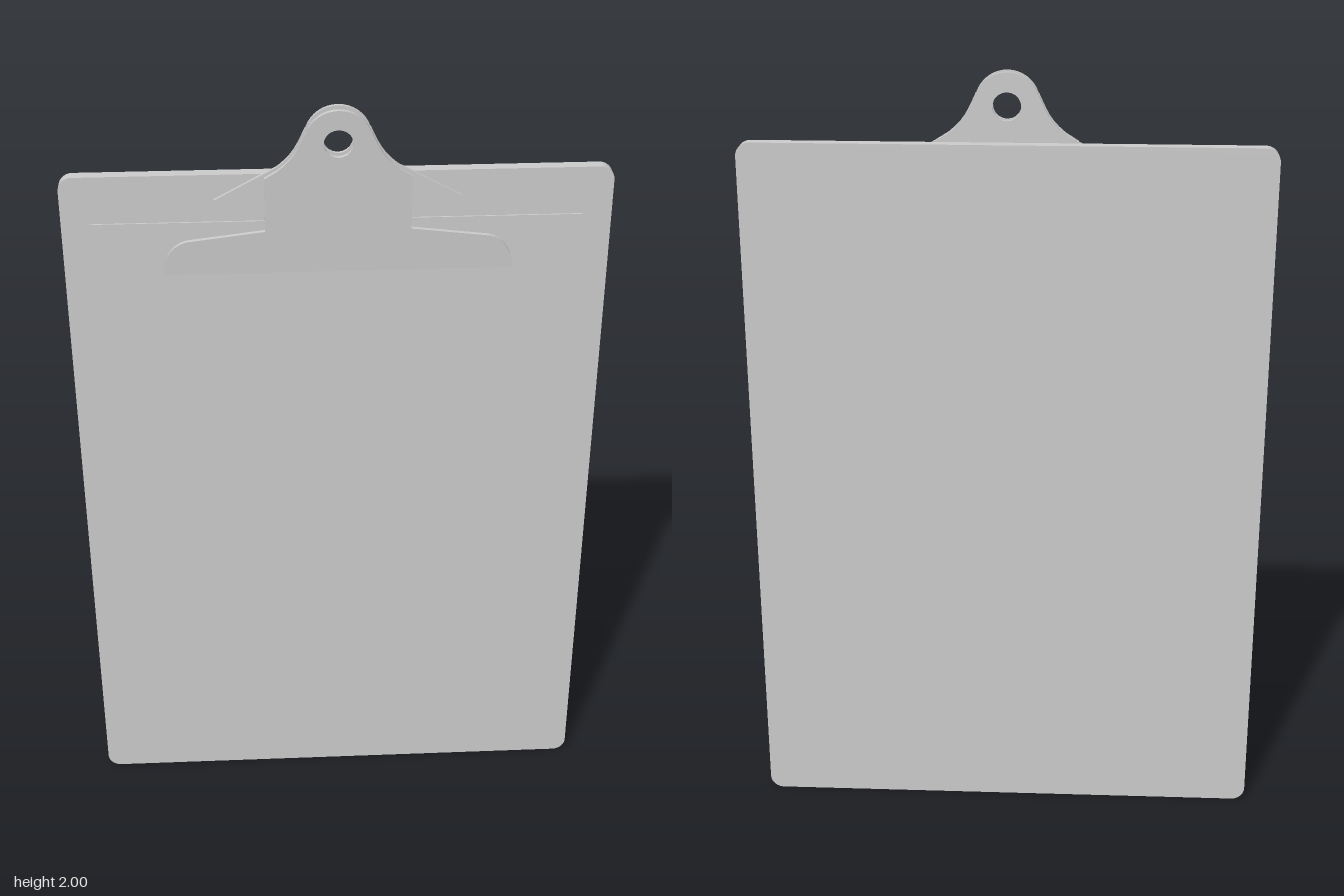
import * as THREE from 'three';

const material = new THREE.MeshStandardMaterial({ color: 0xcccccc, flatShading: true });

function plate(name, shape, depth, z) {
  const geometry = new THREE.ExtrudeGeometry(shape, { depth, bevelEnabled: false, curveSegments: 10 });
  const mesh = new THREE.Mesh(geometry, material);
  mesh.name = name;
  mesh.position.z = z;
  return mesh;
}

function roundedRect(halfWidth, bottom, top, r) {
  const s = new THREE.Shape();
  s.absarc(halfWidth - r, bottom + r, r, -Math.PI / 2, 0);
  s.absarc(halfWidth - r, top - r, r, 0, Math.PI / 2);
  s.absarc(-halfWidth + r, top - r, r, Math.PI / 2, Math.PI);
  s.absarc(-halfWidth + r, bottom + r, r, Math.PI, Math.PI * 1.5);
  s.closePath();
  return s;
}

// Right half of the hanging lug, from the shoulder up to the crown
function lugPoints() {
  const flare = new THREE.CubicBezierCurve(
    new THREE.Vector2(0.143, 1.85), new THREE.Vector2(0.105, 1.88),
    new THREE.Vector2(0.098, 1.90), new THREE.Vector2(0.077, 1.945));
  const crown = new THREE.EllipseCurve(0, 1.92, 0.08, 0.08, 0.32, Math.PI / 2);
  return [...flare.getPoints(6), ...crown.getPoints(8)];
}

// Mirrors a half outline and drills the hanging hole
function clipShape(half) {
  const mirrored = half.slice(0, -1).reverse().map(p => new THREE.Vector2(-p.x, p.y));
  const shape = new THREE.Shape([...half, ...mirrored]);
  const hole = new THREE.Path();
  hole.absarc(0, 1.917, 0.035, 0, Math.PI * 2, true);
  shape.holes.push(hole);
  return shape;
}

export function createModel() {
  const group = new THREE.Group();
  const v = (x, y) => new THREE.Vector2(x, y);

  // Board and the sheet lying on it
  group.add(plate('board', roundedRect(0.66, 0, 1.83, 0.035), 0.029, -0.035));
  const sheet = new THREE.Mesh(new THREE.BoxGeometry(1.18, 1.59, 0.005), material);
  sheet.name = 'paper';
  sheet.position.set(0, 0.915, -0.0045);
  group.add(sheet);

  // Rear clip plate with angled wings
  const rear = [v(0.295, 1.73), v(0.295, 1.768), v(0.175, 1.833), ...lugPoints()];
  group.add(plate('clipBackPlate', clipShape(rear), 0.009, -0.006));

  // Front clip plate with a wide jaw, leaning away from the board
  const jaw = new THREE.EllipseCurve(0.35, 1.58, 0.073, 0.09, 0, Math.PI / 2).getPoints(8);
  const front = [...jaw, v(0.175, 1.692), v(0.175, 1.83), ...lugPoints()];
  const lever = plate('clipFrontPlate', clipShape(front).clone(), 0.01, 0);
  lever.geometry.translate(0, -1.58, 0);
  lever.position.set(0, 1.58, 0.003);
  lever.rotation.x = 0.052;
  group.add(lever);

  return group;
}
